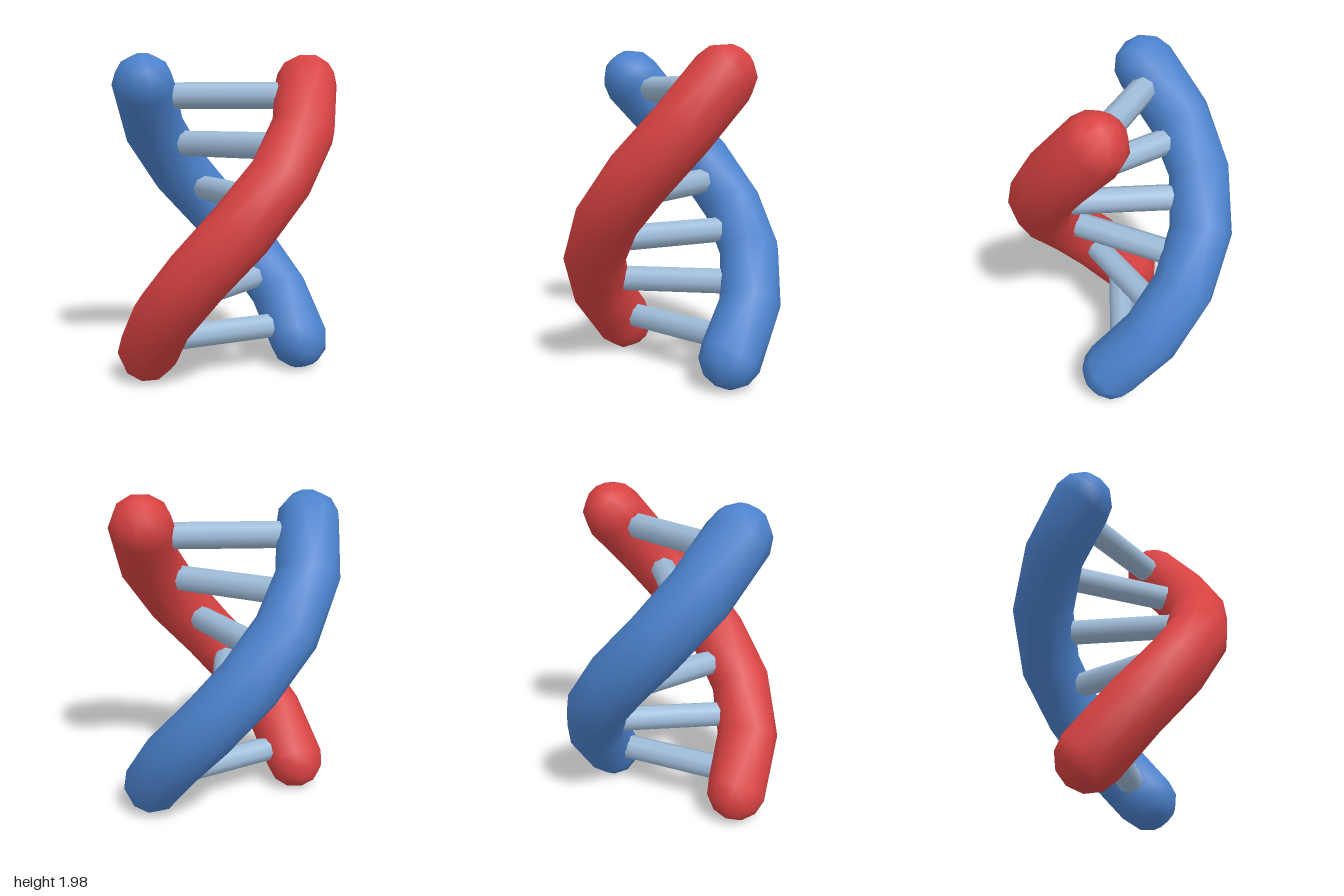
import * as THREE from 'three';
import { mergeVertices } from 'three/addons/utils/BufferGeometryUtils.js';

const HELIX_R = 0.49, TUBE_R = 0.19, TOP = 1.813, BOTTOM = 0.198;
const TWIST = THREE.MathUtils.degToRad(170);
const SIDES = 10, STEPS = 6;

// Helix angle at a height, measured from +x towards +z
const angleAt = (y) => TWIST * (TOP - y) / (TOP - BOTTOM);

// Round tube with domed ends swept up a helix
function strandGeometry(phase) {
  const rings = [];
  const addRing = (y, phi) => rings.push({ y, phi });
  for (const phi of [-90, -60, -30]) addRing(BOTTOM, phi);
  for (let i = 0; i <= STEPS; i++) addRing(BOTTOM + (TOP - BOTTOM) * i / STEPS, 0);
  for (const phi of [30, 60, 90]) addRing(TOP, phi);

  const positions = [], index = [];
  const slope = -TWIST / (TOP - BOTTOM) * HELIX_R;
  rings.forEach(({ y, phi }, i) => {
    const a = angleAt(y) + phase, p = THREE.MathUtils.degToRad(phi);
    const out = new THREE.Vector3(Math.cos(a), 0, Math.sin(a));
    const along = new THREE.Vector3(-Math.sin(a) * slope, 1, Math.cos(a) * slope).normalize();
    const across = along.clone().cross(out);
    const centre = out.clone().multiplyScalar(HELIX_R).setY(y)
      .addScaledVector(along, TUBE_R * Math.sin(p));
    for (let j = 0; j < SIDES; j++) {
      const t = j / SIDES * Math.PI * 2, r = TUBE_R * Math.cos(p);
      const v = centre.clone().addScaledVector(out, r * Math.cos(t)).addScaledVector(across, r * Math.sin(t));
      positions.push(v.x, v.y, v.z);
      if (i === 0) continue;
      const k = (j + 1) % SIDES, lo = (i - 1) * SIDES, hi = i * SIDES;
      if (i > 1) index.push(lo + j, lo + k, hi + j);
      if (i < rings.length - 1) index.push(lo + k, hi + k, hi + j);
      else if (i === 1) index.push(lo + k, hi + k, hi + j);
    }
  });
  const geo = new THREE.BufferGeometry();
  geo.setAttribute('position', new THREE.Float32BufferAttribute(positions, 3));
  geo.setIndex(index);
  const merged = mergeVertices(geo, 1e-4);
  merged.computeVertexNormals();
  return merged;
}

function material(name, color) {
  const m = new THREE.MeshStandardMaterial({ color });
  m.name = name;
  return m;
}

export function createModel() {
  const group = new THREE.Group();
  group.name = 'doubleHelix';
  const red = material('red', 0xd94242);
  const blue = material('blue', 0x4b82cd);
  const paleBlue = material('paleBlue', 0x9fbcd9);

  // Two opposite strands
  const strands = [['redStrand', red, 0], ['blueStrand', blue, Math.PI]];
  for (const [name, mat, phase] of strands) {
    const strand = new THREE.Mesh(strandGeometry(phase), mat);
    strand.name = name;
    group.add(strand);
  }

  // Rungs joining the strands, turning with the helix
  const rungGeo = new THREE.CylinderGeometry(0.08, 0.08, HELIX_R * 2 - 0.24, 8);
  rungGeo.rotateZ(Math.PI / 2);
  for (let i = 0; i < 6; i++) {
    const rung = new THREE.Mesh(rungGeo, paleBlue);
    rung.name = 'rung' + (i + 1);
    rung.position.y = 1.75 - i * 0.294;
    rung.rotation.y = -angleAt(rung.position.y);
    group.add(rung);
  }
  return group;
}
